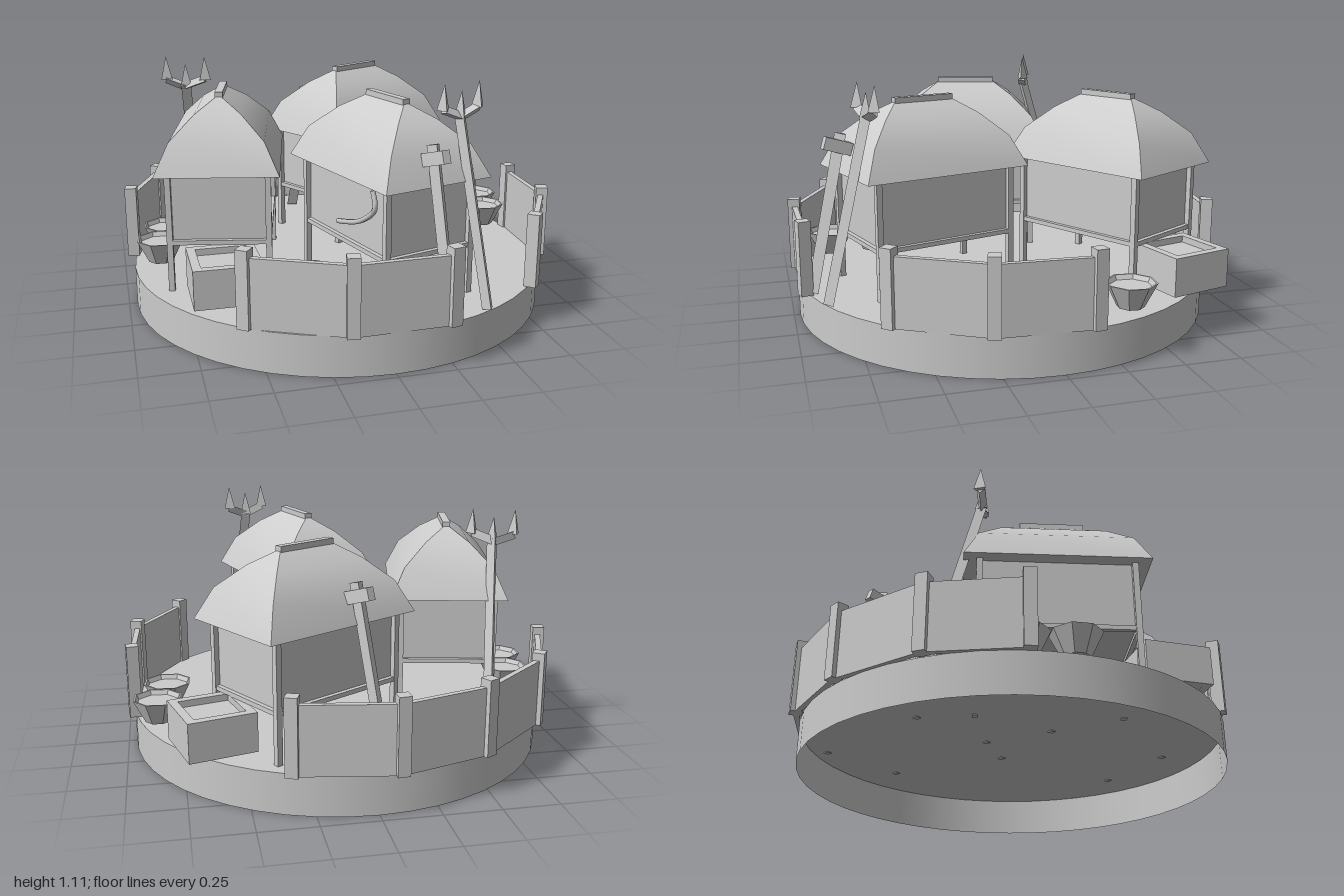
import * as THREE from 'three';

const grey = new THREE.MeshStandardMaterial({ color: 0xcccccc, side: THREE.DoubleSide });
grey.name = 'plain grey';
const GROUND = 0.18;
const V = (x, y, z) => new THREE.Vector3(x, y, z);

function add(parent, name, geometry, x = 0, y = 0, z = 0, turn = 0) {
  const mesh = new THREE.Mesh(geometry, grey);
  mesh.name = name;
  mesh.position.set(x, y, z);
  mesh.rotation.y = turn;
  parent.add(mesh);
  return mesh;
}

function subGroup(parent, name, x = 0, z = 0, turn = 0) {
  const g = new THREE.Group();
  g.name = name;
  g.position.set(x, 0, z);
  g.rotation.y = turn;
  parent.add(g);
  return g;
}

function faceted(geometry) {
  const g = geometry.toNonIndexed();
  g.computeVertexNormals();
  return g;
}

// Three-sided pole between two points, turned about its own axis
function pole(parent, name, a, b, r, spin = 0) {
  const d = b.clone().sub(a);
  const geo = faceted(new THREE.CylinderGeometry(r, r, d.length(), 3)).rotateY(spin);
  const mesh = add(parent, name, geo);
  mesh.position.copy(a).lerp(b, 0.5);
  mesh.quaternion.setFromUnitVectors(V(0, 1, 0), d.normalize());
}

// Hipped roof: four bulging sides, smooth within each side, sharp at the hips
function roofGeometry() {
  const levels = [[0, 0.705], [0.25, 0.842], [0.65, 0.94], [1, 1.0]];
  const corners = [[1, 1], [1, -1], [-1, -1], [-1, 1]];
  const pos = [], idx = [];
  const point = ([sx, sz], [t, y]) => pos.push(
    sx * THREE.MathUtils.lerp(0.392, 0.142, t), y, sz * THREE.MathUtils.lerp(0.265, 0.012, t));
  for (let k = 0; k < 4; k++) {
    const base = pos.length / 3;
    levels.forEach((level, i) => {
      point(corners[k], level);
      point(corners[(k + 1) % 4], level);
      if (i === 0) return;
      const q = base + (i - 1) * 2;
      idx.push(q, q + 1, q + 2, q + 1, q + 3, q + 2);
    });
  }
  // Underside of the eaves
  const u = pos.length / 3;
  corners.forEach((c) => point(c, levels[0]));
  idx.push(u, u + 2, u + 1, u, u + 3, u + 2);
  const g = new THREE.BufferGeometry();
  g.setAttribute('position', new THREE.Float32BufferAttribute(pos, 3));
  g.setIndex(idx);
  g.computeVertexNormals();
  return g;
}

function hut(parent, x, z, degrees) {
  const g = subGroup(parent, 'hut', x, z, THREE.MathUtils.degToRad(degrees));
  const a = 0.325, b = 0.213;
  add(g, 'walls', new THREE.BoxGeometry(0.63, 0.3, 0.406), 0, 0.557, 0);
  add(g, 'roof', roofGeometry());
  add(g, 'ridgeBeam', new THREE.BoxGeometry(0.285, 0.035, 0.035), 0, 1.004, 0);
  for (const s of [-1, 1]) {
    add(g, 'floorRail', new THREE.BoxGeometry(2 * a, 0.02, 0.02), 0, 0.4, s * b);
    add(g, 'floorRail', new THREE.BoxGeometry(0.02, 0.02, 2 * b), s * a, 0.4, 0);
    for (const t of [-1, 1]) {
      add(g, 'stilt', new THREE.BoxGeometry(0.026, 0.53, 0.026), s * a, 0.441, t * b);
    }
  }
  return g;
}

// Run of fence through a list of x, z post positions
function fence(parent, posts) {
  const g = subGroup(parent, 'fence');
  posts.forEach(([x, z], i) => {
    add(g, 'fencePost', new THREE.BoxGeometry(0.054, 0.335, 0.054), x, GROUND + 0.1675, z, Math.atan2(x, z));
    if (i === 0) return;
    const [px, pz] = posts[i - 1];
    const dx = x - px, dz = z - pz;
    add(g, 'fencePanel', new THREE.BoxGeometry(Math.hypot(dx, dz), 0.3, 0.025),
      (x + px) / 2, GROUND + 0.15, (z + pz) / 2, Math.atan2(-dz, dx));
  });
}

// Faceted bowl, filled almost to the rim
function bowl(parent, x, z) {
  const profile = [[0, 0.22], [0.058, 0.22], [0.11, 0.325], [0.102, 0.325], [0.092, 0.305], [0, 0.305]];
  const lathe = new THREE.LatheGeometry(profile.map((p) => new THREE.Vector2(...p)), 8);
  add(parent, 'bowl', faceted(lathe), x, 0, z, 0.3);
}

// Open square trough with a recessed floor
function trough(parent, x, z, turn) {
  const g = subGroup(parent, 'trough', x, z, turn);
  add(g, 'troughBase', new THREE.BoxGeometry(0.28, 0.14, 0.28), 0, 0.291, 0);
  for (const s of [-1, 1]) {
    add(g, 'troughRim', new THREE.BoxGeometry(0.292, 0.17, 0.037), 0, 0.305, s * 0.1275);
    add(g, 'troughRim', new THREE.BoxGeometry(0.037, 0.17, 0.292), s * 0.1275, 0.305, 0);
  }
}

// Leaning three-pronged spear; side is half the crossbar
function trident(parent, base, head, side, spin) {
  const g = subGroup(parent, 'trident');
  pole(g, 'tridentPole', base, head, 0.027, spin);
  for (const s of [-1, 0, 1]) {
    const tip = head.clone().addScaledVector(side, s);
    if (s) {
      tip.y += 0.035;
      pole(g, 'tridentArm', head, tip, 0.022);
    }
    add(g, 'prong', faceted(new THREE.ConeGeometry(0.031, 0.11, 3)), tip.x, tip.y + 0.055, tip.z, spin);
  }
}

// Leaning pole with a narrow hammer head
function hammer(parent, base, head, spin) {
  const g = subGroup(parent, 'hammer');
  pole(g, 'hammerPole', base, head, 0.031, spin);
  const wedge = new THREE.Shape([[-0.037, -0.045], [0.037, -0.045], [0.018, 0.075], [-0.018, 0.075]]
    .map((p) => new THREE.Vector2(...p)));
  const geo = new THREE.ExtrudeGeometry(wedge, { depth: 0.055, bevelEnabled: false });
  geo.translate(0, 0, -0.0275);
  geo.rotateX(Math.PI / 2 - 0.3);
  const at = head.clone().lerp(base, 0.08);
  add(g, 'hammerHead', geo, at.x, at.y, at.z, Math.atan2(base.x - head.x, base.z - head.z));
}

export function createModel() {
  const model = new THREE.Group();
  model.name = 'village';

  // Hollow island: open rim with a ground plate on top
  add(model, 'islandRim', new THREE.CylinderGeometry(0.963, 0.963, GROUND, 48, 1, true), 0, GROUND / 2, 0.01);
  add(model, 'ground', new THREE.CircleGeometry(0.963, 48).rotateX(-Math.PI / 2), 0, GROUND, 0.01);

  hut(model, 0.213, -0.448, 30.6);
  hut(model, -0.542, 0.045, 77.9);
  const frontHut = hut(model, 0.126, 0.4, 106.7);

  // Curved horn hung on the side wall
  const hornPath = new THREE.CatmullRomCurve3([V(-0.23, 0.68, -0.222), V(-0.25, 0.61, -0.222),
    V(-0.15, 0.53, -0.222), V(-0.03, 0.49, -0.222), V(0.04, 0.475, -0.222)]);
  add(frontHut, 'horn', new THREE.TubeGeometry(hornPath, 16, 0.012, 6));

  fence(model, [[-0.957, -0.185], [-0.808, -0.567], [-0.475, -0.855], [-0.082, -0.976], [0.343, -0.908]]);
  fence(model, [[-0.57, 0.78], [-0.178, 0.967], [0.242, 0.956]]);
  fence(model, [[0.725, 0.659], [0.938, 0.287], [0.958, -0.132]]);

  for (const [x, z] of [[-0.8, -0.164], [-0.844, 0.037], [-0.26, 0.587], [-0.26, 0.799], [0.854, -0.312], [0.807, -0.106]]) {
    bowl(model, x, z);
  }

  trough(model, 0.636, -0.635, 0.26);
  trough(model, -0.613, 0.515, 0);

  trident(model, V(0.43, 0.19, 0.87), V(0.355, 0.965, 0.68), V(0.085, 0, -0.025), 0);
  trident(model, V(-0.607, 0.19, -0.51), V(-0.665, 0.965, -0.305), V(0.088, 0, 0.03), Math.PI);

  hammer(model, V(0.25, 0.19, 0.92), V(0.207, 0.88, 0.77), 0);
  hammer(model, V(-0.06, 0.19, -0.77), V(0.03, 0.88, -0.62), Math.PI);

  return model;
}
